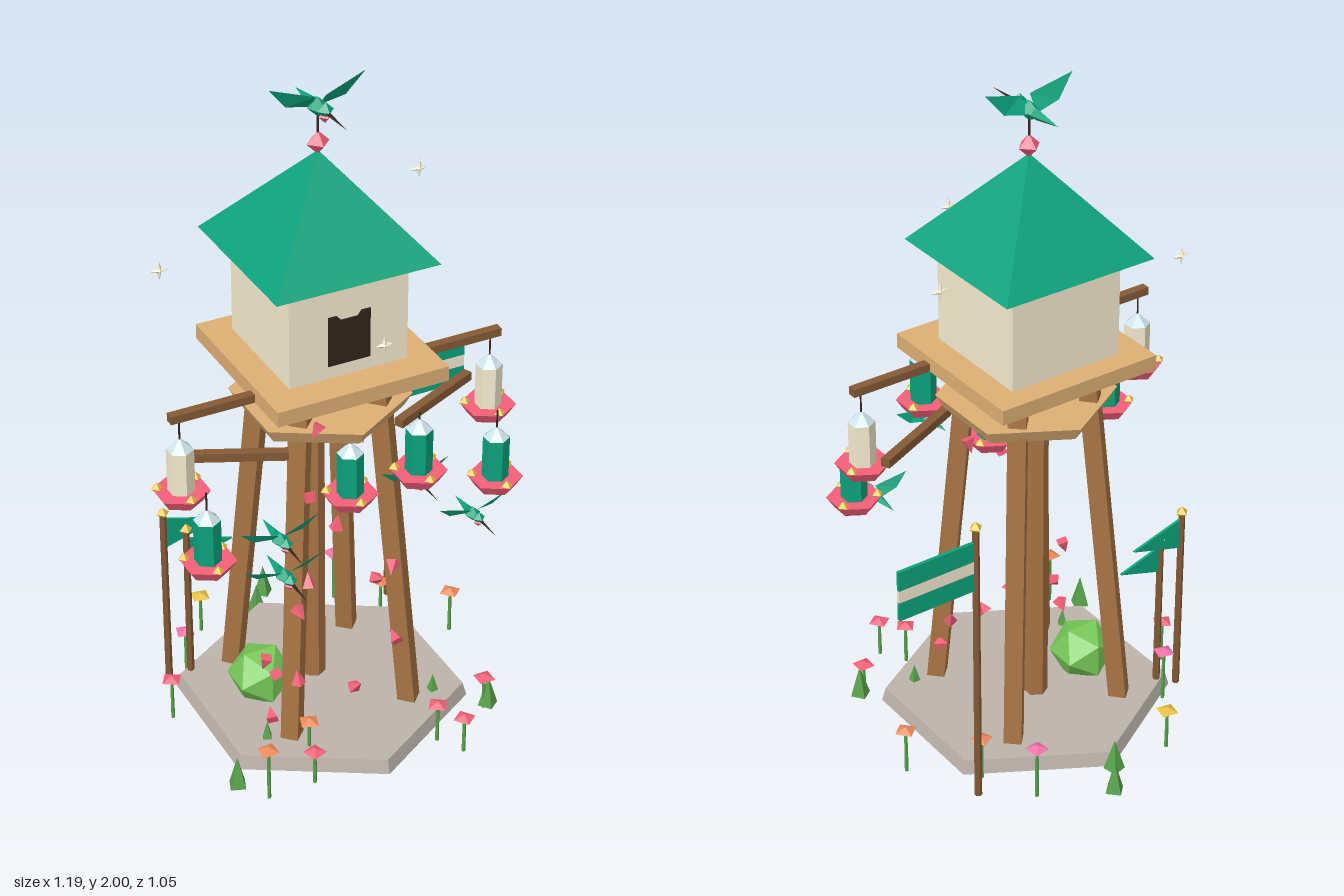
import * as THREE from 'three';

const GREEN = 0x0ca37c, RED = 0xf56078, GOLD = 0xe8c040, WOOD = 0xa87444, DARKWOOD = 0x855a36;
const PLANK = 0xdcae74, CREAM = 0xf6ecd0, STONE = 0xbcb3aa, SILVER = 0xcfe4f0, DARK = 0x33241b;
const LEAF = 0x58a34c, PINK = 0xf070a8, ORANGE = 0xf08858;
const CX = -0.05, CZ = 0.02;

function add(parent, name, geo, color, x = 0, y = 0, z = 0, double = false) {
  const mat = new THREE.MeshStandardMaterial({ color, flatShading: true, side: double ? THREE.DoubleSide : THREE.FrontSide });
  const m = new THREE.Mesh(geo, mat);
  m.name = name;
  m.position.set(x, y, z);
  parent.add(m);
  return m;
}

function group(parent, name, x = 0, y = 0, z = 0) {
  const g = new THREE.Group();
  g.name = name;
  g.position.set(x, y, z);
  parent.add(g);
  return g;
}

const box = (w, h, d) => new THREE.BoxGeometry(w, h, d);
const cyl = (rt, rb, h, n = 6) => new THREE.CylinderGeometry(rt, rb, h, n);
const octa = (r, sx = 1, sy = 1, sz = 1) => new THREE.OctahedronGeometry(r).scale(sx, sy, sz);

// Thin plate cut to an outline
function plate(points, depth) {
  const shape = new THREE.Shape(points.map(p => new THREE.Vector2(...p)));
  return new THREE.ExtrudeGeometry(shape, { depth, bevelEnabled: false }).translate(0, 0, -depth / 2);
}

// Square timber between two points
function beam(parent, name, a, b, w, h, color) {
  const A = new THREE.Vector3(...a), B = new THREE.Vector3(...b);
  const m = add(parent, name, box(w, h, A.distanceTo(B)), color);
  m.position.copy(A).add(B).multiplyScalar(0.5);
  m.lookAt(B);
}

// Hanging lantern; y is the underside of the tray
function lantern(parent, x, y, z, color, hangY) {
  const g = group(parent, 'lantern', x, y, z);
  add(g, 'lanternTray', cyl(0.08, 0.058, 0.033), RED, 0, 0.0165);
  add(g, 'lanternBody', cyl(0.038, 0.038, 0.13), color, 0, 0.098);
  add(g, 'lanternCap', new THREE.ConeGeometry(0.038, 0.035, 6), SILVER, 0, 0.18);
  const len = hangY - y - 0.19;
  add(g, 'lanternCord', cyl(0.003, 0.003, len, 4), DARK, 0, 0.19 + len / 2);
  for (let i = 0; i < 3; i++) {
    const a = i * Math.PI * 2 / 3;
    add(g, 'lanternBead', octa(0.017), GOLD, Math.sin(a) * 0.066, 0.036, Math.cos(a) * 0.066);
  }
}

// Small bird facing +z
function bird(parent, x, y, z, s, lift) {
  const g = group(parent, 'bird', x, y, z);
  g.scale.setScalar(s);
  add(g, 'birdBody', octa(0.03, 1, 0.95, 2), GREEN);
  add(g, 'birdHead', octa(0.024), GREEN, 0, 0.008, 0.045);
  add(g, 'birdThroat', octa(0.019), RED, 0, -0.01, 0.042);
  add(g, 'birdBeak', new THREE.ConeGeometry(0.007, 0.11, 4).rotateX(Math.PI / 2), DARK, 0, 0.004, 0.113);
  add(g, 'birdTail', new THREE.ConeGeometry(0.018, 0.1, 4).rotateX(-Math.PI / 2), GREEN, 0, 0, -0.08);
  for (const k of [1, -1]) {
    const wing = new THREE.BufferGeometry();
    const p = [[0.015, lift * 0.5, 0.018], [0.14, lift, 0], [0.088, lift * 0.15, -0.012], [0.012, -0.006, -0.018]];
    wing.setAttribute('position', new THREE.Float32BufferAttribute(p.flatMap(v => [v[0] * k, v[1], v[2]]), 3));
    wing.setIndex(k > 0 ? [0, 2, 1, 0, 3, 2] : [0, 1, 2, 0, 2, 3]);
    wing.computeVertexNormals();
    add(g, 'birdWing', wing, GREEN, 0, 0, 0, true);
  }
}

function flagPole(parent, x, z, top) {
  add(parent, 'flagPole', cyl(0.01, 0.011, top - 0.02, 6), DARKWOOD, x, (top + 0.02) / 2, z);
  add(parent, 'poleFinial', octa(0.02), GOLD, x, top, z);
}

export function createModel() {
  const root = new THREE.Group();
  root.name = 'lanternTower';

  // Stone base, corner legs, centre post and decks
  add(root, 'stoneBase', cyl(0.42, 0.432, 0.043), STONE, CX, 0.031, CZ);
  for (const sx of [-1, 1]) for (const sz of [-1, 1])
    beam(root, 'leg', [CX + 0.192 * sx, 0.04, 0.012 + 0.2 * sz], [CX + 0.116 * sx, 1.17, 0.015 + 0.12 * sz], 0.052, 0.052, WOOD);
  add(root, 'centrePost', cyl(0.034, 0.036, 1.09), WOOD, CX, 0.585, -0.03);
  add(root, 'lowerDeck', cyl(0.256, 0.232, 0.042), PLANK, CX, 1.042, CZ);
  add(root, 'upperDeck', box(0.515, 0.045, 0.515), PLANK, CX, 1.188, CZ + 0.004);

  // Cabin, doorway and pyramid roof
  add(root, 'cabin', box(0.356, 0.32, 0.356), CREAM, CX, 1.365, 0.012);
  add(root, 'doorway', plate([
    [-0.063, 0], [0.063, 0], [0.063, 0.15], [0.037, 0.15], [0.025, 0.135], [-0.025, 0.135], [-0.037, 0.15], [-0.063, 0.15],
  ], 0.008), DARK, CX, 1.25, 0.19);
  add(root, 'roof', new THREE.ConeGeometry(0.343, 0.285, 4).rotateY(Math.PI / 4), GREEN, CX, 1.657, 0.01);
  add(root, 'roofFinial', octa(0.034), RED, CX, 1.822, 0.01);
  add(root, 'birdPerch', cyl(0.004, 0.004, 0.1, 4), DARK, CX, 1.88, 0.01);

  // Beams carrying the lanterns
  beam(root, 'upperBeam', [-0.553, 1.178, 0.13], [0.453, 1.178, 0.13], 0.027, 0.024, DARKWOOD);
  for (const k of [1, -1])
    beam(root, 'lowerBeam', [CX + k * 0.465, 0.988, 0.03], [CX + k * 0.17, 0.988, 0.165], 0.027, 0.026, DARKWOOD);

  lantern(root, -0.525, 0.912, 0.13, CREAM, 1.17);
  lantern(root, 0.425, 0.912, 0.13, CREAM, 1.17);
  lantern(root, -0.497, 0.735, 0.23, GREEN, 0.985);
  lantern(root, 0.397, 0.735, 0.23, GREEN, 0.985);
  lantern(root, CX, 0.797, 0.2, GREEN, 1.025);
  lantern(root, 0.095, 0.905, 0.325, GREEN, 1.12);

  // Birds
  bird(root, CX, 1.925, 0.01, 1, 0.075);
  bird(root, -0.35, 0.878, 0.375, 0.83, 0.06);
  bird(root, -0.325, 0.732, 0.345, 0.85, 0.05);
  bird(root, 0.1, 0.89, 0.3, 0.75, 0.06);
  bird(root, 0.295, 0.703, 0.285, 0.78, 0.055);

  // Striped banner and two pennants
  flagPole(root, 0.345, -0.302, 0.93);
  [[0.857, 0.06, GREEN], [0.808, 0.038, CREAM], [0.76, 0.058, GREEN]].forEach(([y, h, color]) =>
    add(root, 'bannerStripe', box(0.24, h, 0.01), color, 0.475, y, -0.302));
  flagPole(root, -0.44, -0.21, 0.63);
  flagPole(root, -0.375, -0.197, 0.56);
  add(root, 'pennant', plate([[0, -0.05], [0.17, 0], [0, 0.05]], 0.008), GREEN, -0.435, 0.56, -0.21);
  add(root, 'pennant', plate([[0, -0.043], [0.14, 0], [0, 0.043]], 0.008), GREEN, -0.37, 0.487, -0.197);

  // Floating sparkles
  [[-0.44, 1.45, -0.165], [-0.085, 1.45, 0.452], [0.345, 1.58, -0.15]].forEach(p => {
    const g = group(root, 'sparkle', ...p);
    add(g, 'sparkleAcross', octa(0.03, 1, 0.28, 0.3), CREAM);
    add(g, 'sparkleUpright', octa(0.03, 0.28, 1, 0.3), CREAM);
  });

  // Bush and grass tufts
  add(root, 'bush', new THREE.IcosahedronGeometry(0.098, 0), 0x78c858, -0.232, 0.115, -0.015);
  [[0.01, -0.5], [-0.05, -0.42], [-0.455, 0.295], [0.36, 0.3], [0.22, 0.215], [-0.31, 0.19]].forEach(([x, z], i) =>
    add(root, 'grassTuft', new THREE.ConeGeometry(0.031, 0.1, 4).rotateY(i), LEAF, x, 0.058, z));

  // Flowers: x, z, head height, colour
  [[-0.24, -0.42, 0.13, GOLD], [0.2, -0.385, 0.17, PINK], [0.28, -0.225, 0.14, ORANGE], [0.44, -0.075, 0.145, ORANGE],
    [-0.49, -0.075, 0.14, RED], [-0.375, -0.23, 0.17, PINK], [-0.395, 0.375, 0.17, ORANGE], [-0.25, 0.375, 0.11, RED],
    [0.195, 0.447, 0.12, RED], [0.15, 0.37, 0.13, RED], [-0.22, 0.28, 0.14, ORANGE], [0.345, 0.3, 0.11, RED],
  ].forEach(([x, z, h, color], i) => {
    add(root, 'flowerStem', cyl(0.005, 0.006, h, 5), LEAF, x, h / 2, z);
    add(root, 'flowerHead', octa(0.034, 1, 0.4, 1).rotateY(0.6 + i * 0.3), color, x, h, z);
  });

  // Petals drifting round the legs
  [[-0.17, 1.08, 0.23], [-0.185, 0.86, 0.2], [-0.2, 0.61, 0.24], [-0.165, 0.65, 0.14], [-0.22, 0.49, 0.23],
    [-0.32, 0.33, 0.2], [-0.32, 0.18, 0.24], [-0.235, 0.28, 0.24], [-0.05, 0.19, 0.25], [0.07, 0.55, 0.23],
    [0.09, 0.89, 0.1], [0.075, 0.32, 0.24], [0.13, 0.28, 0.15], [0.06, 0.48, 0.17], [0.04, 0.93, 0.1],
    [-0.24, 0.2, 0.1], [0.15, 0.19, 0.16], [-0.1, 0.76, 0.22],
  ].forEach((p, i) => {
    const m = add(root, 'petal', new THREE.ConeGeometry(0.022, 0.045, 4), RED, ...p);
    m.rotation.set(i * 1.3, i * 0.7, 2.6 + (i % 3) * 0.4);
  });

  return root;
}
